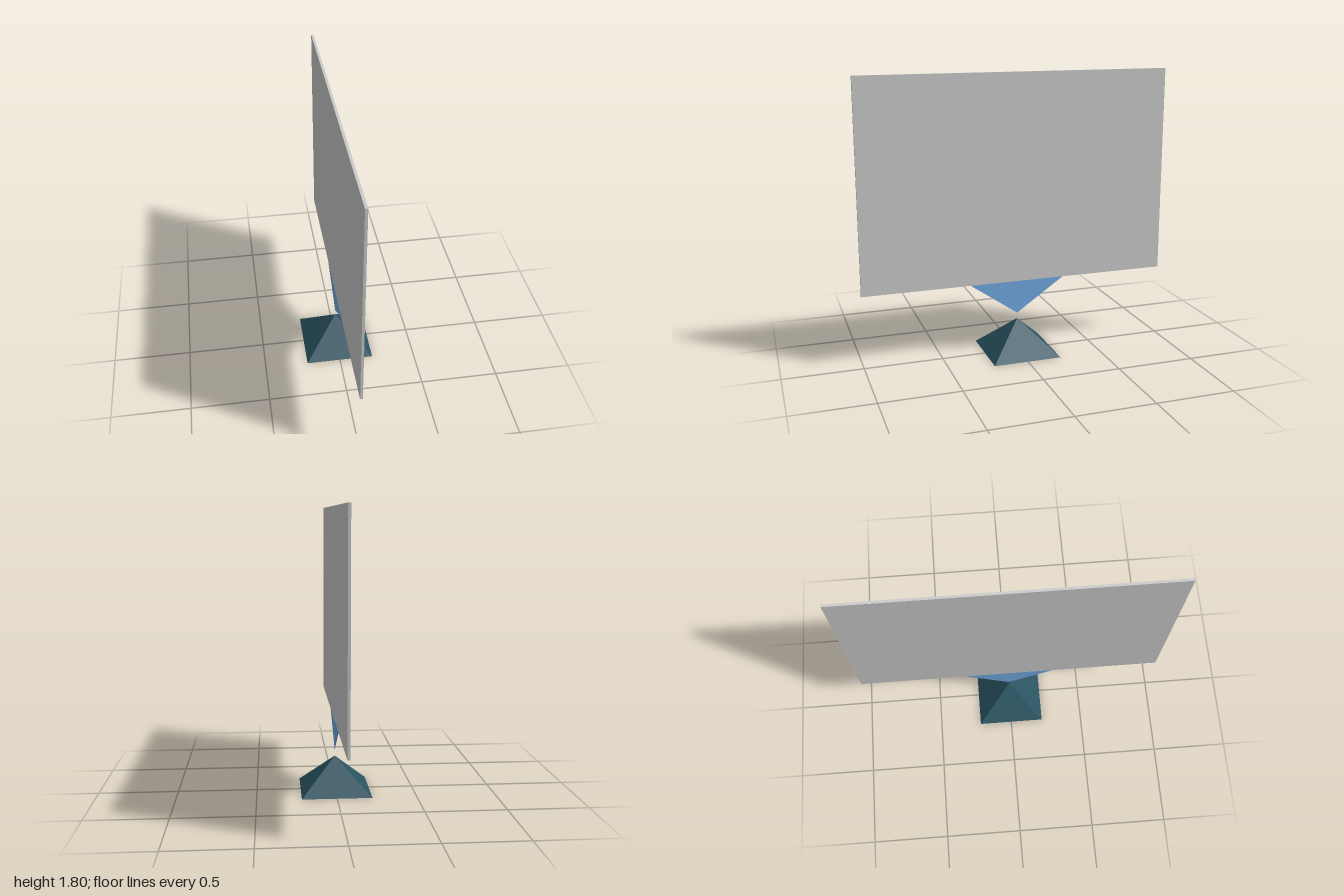
import * as THREE from 'three';

// Four-sided pyramid with its base at y = 0 and apex at y = height
function pyramid(halfX, halfZ, height) {
  const geo = new THREE.ConeGeometry(Math.SQRT2, height, 4);
  geo.rotateY(Math.PI / 4);
  geo.translate(0, height / 2, 0);
  geo.scale(halfX, 1, halfZ);
  return geo;
}

function addPart(group, name, geometry, color, y) {
  const material = new THREE.MeshStandardMaterial({ color, flatShading: true });
  const mesh = new THREE.Mesh(geometry, material);
  mesh.name = name;
  mesh.position.y = y;
  group.add(mesh);
}

export function createModel() {
  const group = new THREE.Group();
  group.name = 'panelOnStand';

  // Thin upright panel, lying in the y-z plane
  addPart(group, 'panel', new THREE.BoxGeometry(0.016, 1.33, 2), 0xcccccc, 1.135);

  // Thin inverted wedge that hangs below the panel
  const wedge = pyramid(0.005, 0.315, 0.22);
  wedge.rotateX(Math.PI);
  addPart(group, 'supportWedge', wedge, 0x73ace5, 0.472);

  // Floor base
  addPart(group, 'base', pyramid(0.22, 0.22, 0.215), 0x285260, 0);

  return group;
}
